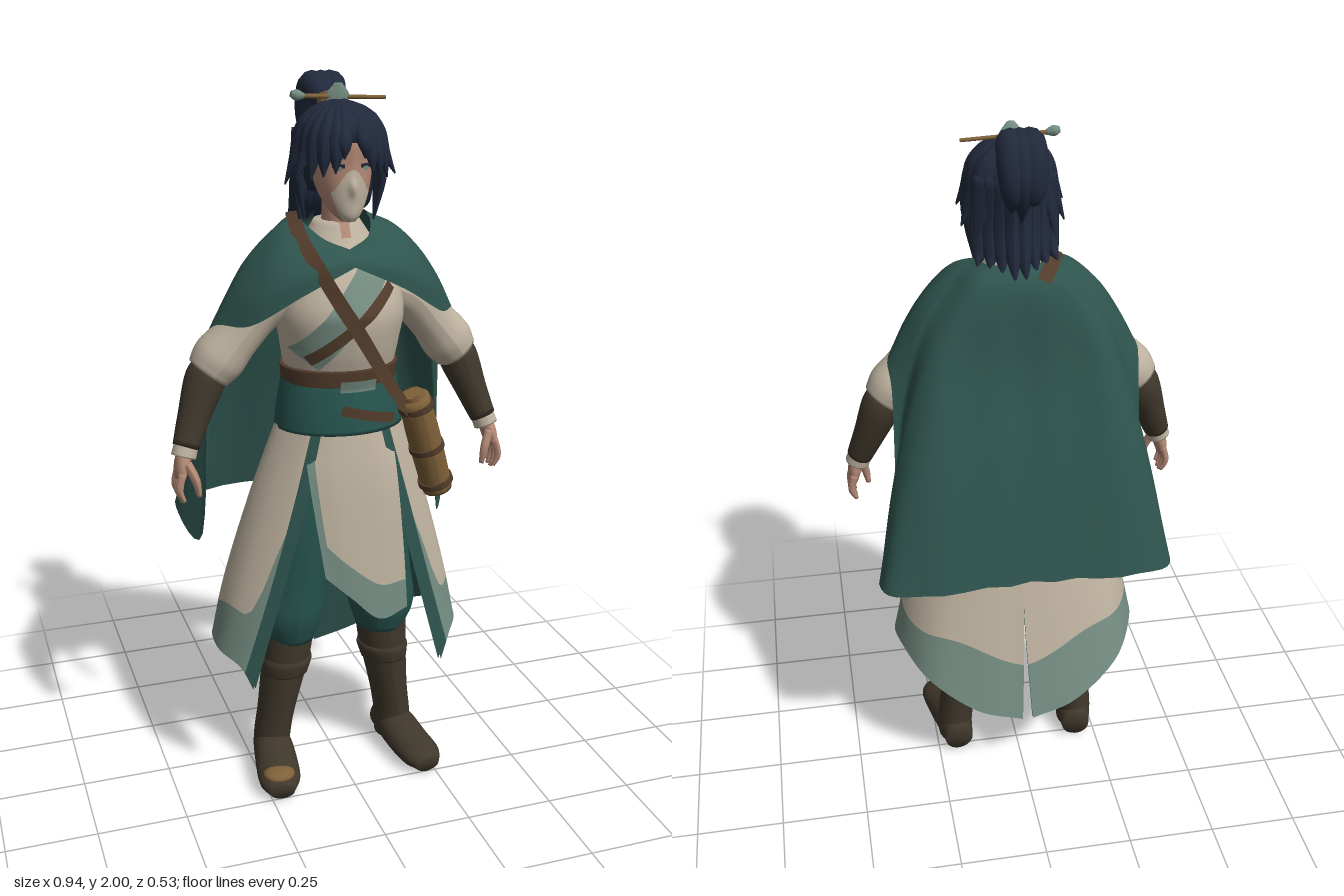
import * as THREE from 'three';

const mat = (name, color) => {
  const m = new THREE.MeshStandardMaterial({ color, side: THREE.DoubleSide });
  m.name = name;
  return m;
};
const V = (p) => new THREE.Vector3(p[0], p[1], p[2]);
const spline = (pts) => new THREE.CatmullRomCurve3(pts, false, 'catmullrom', 0.5);

// Indexed surface from a rule f(u, v)
function grid(name, material, f, nu, nv) {
  const pos = [], idx = [];
  for (let j = 0; j <= nv; j++) for (let i = 0; i <= nu; i++) {
    const p = f(i / nu, j / nv);
    pos.push(p.x, p.y, p.z);
    if (i < nu && j < nv) {
      const a = j * (nu + 1) + i, b = a + nu + 1;
      idx.push(a, a + 1, b, a + 1, b + 1, b);
    }
  }
  const g = new THREE.BufferGeometry();
  g.setAttribute('position', new THREE.Float32BufferAttribute(pos, 3));
  g.setIndex(idx);
  g.computeVertexNormals();
  const m = new THREE.Mesh(g, material);
  m.name = name;
  return m;
}

// Elliptical sweep through [x, y, z, ra, rb]; level keeps the sections horizontal
function section(path, ref = [0, 0, 1], level = false) {
  const c = spline(path.map(V)), r = spline(path.map((p) => new THREE.Vector3(p[3], p[4] ?? p[3], 0)));
  const R = V(ref), rise = Math.sign(path[path.length - 1][1] - path[0][1]);
  return (u, v, off = 0, k = 1) => {
    const T = level ? new THREE.Vector3(0, rise, 0) : c.getTangent(v);
    const side = T.clone().cross(R).normalize(), up = side.clone().cross(T);
    const q = r.getPoint(v), a = u * Math.PI * 2;
    return c.getPoint(v).addScaledVector(side, k * (q.x + off) * Math.sin(a)).addScaledVector(up, k * (q.y + off) * Math.cos(a));
  };
}
function limb(name, material, path, ref, level, nu = 20, nv = path.length * 4) {
  const P = section(path, ref, level), n = nv + 2;
  return grid(name, material, (u, t) => {
    const j = Math.round(t * n);
    return P(u, Math.min(Math.max((j - 1) / nv, 0), 1), 0, j === 0 || j === n ? 0 : 1);
  }, nu, n);
}

// Smooth cloth through columns of points
function cloth(cols) {
  const cs = cols.map((c) => spline(c.map(V)));
  return (u, v) => spline(cs.map((c) => c.getPoint(v))).getPoint(u);
}

// Flat strap lying on the body
function ribbon(name, material, pts, w) {
  const c = spline(pts.map(V));
  return grid(name, material, (u, v) => {
    const p = c.getPoint(v), out = new THREE.Vector3(p.x, Math.max(0, p.y - 1.5) * 2.5, p.z - 0.06).normalize();
    return p.addScaledVector(c.getTangent(v).cross(out).normalize(), (u - 0.5) * w);
  }, 2, 48);
}

// Mirrored copy with its winding restored
function mirror(group) {
  const g = group.clone();
  g.traverse((o) => {
    if (!o.isMesh) return;
    o.geometry = o.geometry.clone().scale(-1, 1, 1);
    const a = o.geometry.index.array;
    for (let i = 0; i < a.length; i += 3) [a[i], a[i + 1]] = [a[i + 1], a[i]];
    o.geometry.computeVertexNormals();
  });
  return g;
}

export function createModel() {
  const root = new THREE.Group();
  const teal = mat('cape green', 0x2f544e), pants = mat('trouser teal', 0x27544f), cream = mat('cream cloth', 0xbfb3a0);
  const sage = mat('sage trim', 0x758d82), dark = mat('dark leather', 0x40382c), brown = mat('brown leather', 0x523c2b);
  const tan = mat('bamboo tan', 0x7f6139), skin = mat('skin', 0xb58a77), hair = mat('blue black hair', 0x21293c);
  const add = (...m) => root.add(...m);
  const both = (name, ...m) => {
    const g = new THREE.Group();
    g.add(...m);
    const h = mirror(g);
    g.name = 'left ' + name; h.name = 'right ' + name;
    add(g, h);
  };

  // Torso, sash and belt
  const rings = [[0, 1.06, .085, .165, .115], [0, 1.2, .085, .15, .115], [0, 1.3, .09, .162, .14], [0, 1.4, .095, .175, .148],
    [0, 1.5, .08, .15, .12], [0, 1.57, .07, .1, .085], [0, 1.63, .067, .06, .058]];
  add(limb('robe top', cream, rings, [0, 0, 1], true, 32));
  add(limb('neck', skin, [[0, 1.56, .075, .045], [0, 1.7, .09, .045]], [0, 0, 1], true));
  add(limb('sash', pants, [[0, 1.075, .085, .18, .145], [0, 1.13, .085, .174, .139], [0, 1.2, .085, .162, .126], [0, 1.215, .085, .158, .12]], [0, 0, 1], true, 32));
  add(limb('belt', brown, [[0, 1.205, .085, .16, .128], [0, 1.25, .087, .163, .132]], [0, 0, 1], true, 32));
  const chestZ = (x, y) => {
    let i = 0;
    while (i < rings.length - 2 && rings[i + 1][1] < y) i++;
    const t = (y - rings[i][1]) / (rings[i + 1][1] - rings[i][1]);
    const L = (k) => rings[i][k] + (rings[i + 1][k] - rings[i][k]) * t;
    return L(2) + L(4) * Math.sqrt(Math.max(0, 1 - (x / L(3)) ** 2));
  };
  const band = (name, m, x0, y0, x1, y1, w, off) => {
    const d = Math.hypot(x1 - x0, y1 - y0), nx = -(y1 - y0) / d, ny = (x1 - x0) / d;
    add(grid(name, m, (u, v) => {
      const x = x0 + (x1 - x0) * v + nx * w * (u - .5), y = y0 + (y1 - y0) * v + ny * w * (u - .5);
      return new THREE.Vector3(x, y, chestZ(x, y) + off);
    }, 6, 16));
  };
  band('lapel', sage, .08, 1.53, -.125, 1.28, .085, .006);
  band('cross strap', brown, .11, 1.47, -.12, 1.28, .03, .012);
  band('throat', skin, 0, 1.628, 0, 1.59, .026, .005);
  band('buckle', sage, -.04, 1.21, .06, 1.21, .032, .026);
  band('hanging belt', brown, -.04, 1.15, .12, 1.105, .028, .04);
  add(ribbon('shoulder strap', brown, [[-.06, 1.605, -.075], [-.095, 1.64, -.02], [-.115, 1.632, .06], [-.12, 1.595, .135], [-.1, 1.535, .21], [-.05, 1.44, .25], [0, 1.36, .26],
    [.1, 1.2, .24], [.17, 1.11, .225], [.22, 1.05, .2]], .038));

  // Cape, short over the chest and long behind the arms
  const half = [
    [[0, 1.565, .175], [0, 1.558, .19], [0, 1.55, .205], [0, 1.54, .215], [0, 1.527, .222]],
    [[.06, 1.59, .145], [.085, 1.575, .17], [.105, 1.54, .2], [.12, 1.51, .215], [.14, 1.46, .218]],
    [[.09, 1.62, .08], [.15, 1.597, .11], [.195, 1.535, .155], [.235, 1.46, .172], [.265, 1.38, .165]],
    [[.095, 1.63, .04], [.165, 1.604, .05], [.235, 1.538, .06], [.29, 1.455, .07], [.34, 1.36, .06]],
    [[.1, 1.633, .025], [.162, 1.6, .02], [.245, 1.5, 0], [.3, 1.38, -.01], [.34, 1.25, -.02]],
    [[.1, 1.635, .01], [.157, 1.592, 0], [.255, 1.44, -.03], [.325, 1.15, -.045], [.36, .72, -.06]],
    [[.09, 1.64, -.01], [.14, 1.583, -.05], [.245, 1.4, -.085], [.345, 1.1, -.115], [.415, .77, -.15]],
    [[.07, 1.64, -.03], [.105, 1.575, -.075], [.18, 1.38, -.11], [.275, 1.1, -.18], [.345, .775, -.245]],
    [[0, 1.64, -.045], [0, 1.57, -.085], [0, 1.36, -.108], [0, 1.1, -.178], [0, .79, -.253]]];
  const flip = half.slice(0, -1).reverse().map((c) => c.map(([x, y, z]) => [-x, y, z]));
  const capeP = cloth([...half, ...flip]);
  add(grid('cape', teal, (u, v) => {
    const p = capeP(u, v);
    if (p.z < -.05) p.z += .007 * v * Math.sin(p.x * 38 + 1.5 + Math.sin(p.x * 9)) * Math.min(1, (-.05 - p.z) * 20);
    return p;
  }, 96, 28));

  // Skirt side panels with green front edge, sage hem and lining
  const skirtP = cloth([
    [[.075, 1.12, .195], [.135, .87, .207], [.21, .6, .2], [.285, .335, .19]],
    [[.11, 1.12, .18], [.18, .87, .19], [.25, .62, .185], [.315, .4, .17]],
    [[.15, 1.12, .13], [.235, .87, .13], [.31, .62, .12], [.36, .43, .1]],
    [[.165, 1.12, .08], [.25, .87, .05], [.32, .62, .02], [.355, .44, 0]],
    [[.13, 1.12, .01], [.19, .87, -.03], [.25, .6, -.08], [.285, .38, -.125]],
    [[.07, 1.12, -.02], [.1, .85, -.07], [.13, .56, -.13], [.15, .29, -.185]],
    [[0, 1.12, -.03], [0, .85, -.08], [.001, .56, -.14], [.015, .25, -.2]]]);
  const patch = (name, m, P, u0, u1, v0, v1, off = 0, nu = 30) => grid(name, m, (u, v) => {
    const U = u0 + (u1 - u0) * u, a = v0(U), p = P(U, a + (v1(U) - a) * v), d = new THREE.Vector3(p.x, 0, p.z - .06).normalize();
    return p.addScaledVector(d, -off);
  }, nu, 16);
  const top = () => 0, end = () => 1, hem = (u) => .78 + .03 * Math.sin(u * 14) - .38 * Math.exp(-(((u - .12) / .06) ** 2));
  both('skirt panel', patch('green skirt edge', teal, skirtP, 0, .12, top, end, 0, 6),
    patch('skirt cloth', cream, skirtP, .12, 1, top, hem), patch('skirt hem', sage, skirtP, .12, 1, hem, end),
    patch('skirt lining', teal, skirtP, 0, 1, top, end, .008));

  // Front skirt panel
  const frontP = cloth([
    [[-.125, 1.1, .16], [-.125, .98, .2], [-.108, .83, .222], [-.085, .67, .235]],
    [[-.05, 1.11, .2], [-.05, .95, .225], [-.035, .77, .238], [-.01, .6, .246]],
    [[.05, 1.11, .2], [.055, .94, .226], [.065, .72, .24], [.07, .53, .25]],
    [[.12, 1.1, .165], [.13, .94, .21], [.145, .73, .23], [.155, .55, .24]]]);
  const frontHem = (u) => .76 + .08 * u;
  add(patch('front panel', cream, frontP, .1, 1, top, frontHem), patch('front panel hem', sage, frontP, .1, 1, frontHem, end),
    patch('front panel edge', sage, frontP, 0, .1, top, end), patch('front panel lining', teal, frontP, 0, 1, top, end, .006));

  // Legs and boots
  both('leg',
    limb('trouser leg', pants, [[.08, 1.02, .08, .085, .09], [.1, .8, .08, .095, .1], [.128, .6, .07, .095, .1], [.14, .5, .065, .097, .097], [.138, .42, .06, .07, .075]], [0, 0, 1], true),
    limb('boot shaft', dark, [[.143, .45, .055, .075, .08], [.15, .36, .055, .07, .074], [.175, .2, .045, .056, .067], [.19, .1, .04, .054, .06], [.192, .03, .038, .052, .065]], [0, 0, 1], true),
    limb('boot knee band', dark, [[.155, .31, .054, .069, .073], [.15, .345, .055, .075, .079], [.148, .36, .055, .072, .077]], [0, 0, 1], true),
    limb('boot foot', dark, [[.187, .047, -.03, .042, .045], [.194, .06, .05, .056, .058], [.207, .048, .15, .062, .046], [.219, .04, .22, .058, .038], [.223, .03, .262, .035, .024]], [0, 1, 0]));
  const toe = new THREE.Mesh(new THREE.SphereGeometry(1, 16, 10), tan);
  toe.name = 'toe patch';
  toe.position.set(-.22, .064, .215);
  toe.scale.set(.046, .019, .042);
  add(toe);

  // Arms and hands
  const fingers = [0, 1, 2, 3].map((i) => limb('finger', skin, [[.452, .985, .08 + i * .019, .011], [.462, .94, .08 + i * .021, .01],
    [.45, .895 + Math.abs(i - 1.6) * .008, .083 + i * .019, .006]], [0, 0, 1], false, 8));
  both('arm',
    limb('sleeve', cream, [[.13, 1.45, .07, .08], [.21, 1.41, .07, .07], [.275, 1.335, .068, .064], [.325, 1.275, .06, .072], [.355, 1.235, .058, .062]]),
    limb('bracer', dark, [[.345, 1.26, .058, .045], [.366, 1.215, .058, .055], [.403, 1.12, .075, .044], [.432, 1.045, .095, .036]]),
    limb('wrist cloth', cream, [[.43, 1.05, .094, .033], [.44, 1.02, .1, .034]]),
    limb('palm', skin, [[.435, 1.035, .1, .022, .026], [.447, 1, .106, .02, .036], [.454, .965, .11, .014, .037]]),
    limb('thumb', skin, [[.437, 1.01, .132, .013], [.418, .965, .146, .012], [.41, .92, .146, .007]], [0, 0, 1], false, 8), ...fingers);

  // Bamboo case at the hip
  const caseTop = [.172, 1.16, .21], caseEnd = [.268, .87, .165], at = (t, r) => [...V(caseTop).lerp(V(caseEnd), t).toArray(), r];
  add(limb('bamboo case', tan, [at(0, .043), at(.4, .046), at(.8, .044), at(1, .042)]));
  for (const t of [.06, .5, .88]) add(limb('case band', brown, [at(t, .049), at(t + .05, .05)]));
  add(limb('case cap', tan, [at(-.04, .03), at(.02, .034)]));

  // Head, mask and eyes
  const face = [[0, 1.637, .15, .018, .03], [0, 1.655, .14, .036, .05], [0, 1.69, .125, .058, .068], [0, 1.73, .11, .072, .085],
    [0, 1.78, .1, .08, .095], [0, 1.85, .1, .085, .098], [0, 1.9, .09, .06, .07]];
  add(limb('head', skin, face, [0, 0, 1], true, 28));
  const faceP = section(face, [0, 0, 1], true);
  add(grid('face mask', cream, (u, v) => {
    const p = faceP((u - .5) * .25, v * (.54 + .1 * Math.cos((u - .5) * 6)), .004);
    p.z += .012 * Math.exp(-((p.x / .01) ** 2) - ((p.y - 1.725) / .02) ** 2);
    return p;
  }, 24, 16));
  for (const s of [-1, 1]) {
    add(grid('eyelid', hair, (u, v) => faceP(s * (.04 + .06 * u), .655 + .028 * v, .006), 6, 2));
    add(grid('iris', sage, (u, v) => faceP(s * (.055 + .025 * u), .635 + .03 * v, .008), 4, 2));
  }

  // Hair cap, fringe, side and back locks
  add(limb('hair cap', hair, [[0, 1.7, .03, .072, .055], [0, 1.78, .062, .1, .09], [0, 1.84, .088, .11, .113], [0, 1.885, .09, .088, .106],
    [0, 1.92, .083, .055, .07], [0, 1.935, .08, .018, .02]], [0, 0, 1], true, 28));
  const lock = (a, tip, w, flare) => {
    const s = Math.sin(a), c = Math.cos(a), p = (r, y, ra, rb) => [s * r * .93, y, .09 + c * r, ra, rb];
    add(limb('hair lock', hair, [p(.03, 1.922, w * .5, .01), p(.075, 1.9, w, .014), p(.108, 1.86, w * 1.1, .016),
      p(.124, (1.86 + tip) / 2, w * .85, .014), p(.128 * flare, tip, .002, .002)], [s, 0, c], false, 8));
  };
  for (const s of [-1, 1]) {
    // angle from the front, tip height, width and outward flick
    [[.24, 1.8, .02, .98], [.42, 1.765, .022, 1.02], [.68, 1.755, .025, 1.02], [.95, 1.745, .026, 1.06], [1.2, 1.75, .028, 1.2],
      [1.5, 1.635, .024, .82], [1.5, 1.76, .028, 1.18], [1.72, 1.62, .028, .86], [1.85, 1.72, .032, 1.18], [2.2, 1.68, .035, 1.12]]
      .forEach((l) => lock(s * l[0], l[1], l[2], l[3]));
    for (let i = 0; i < 4; i++) {
      const x = s * (.013 + i * .026), z = -.03 + i * .016;
      add(limb('back lock', hair, [[x * .9, 1.86, z, .025, .02], [x, 1.74, z + .012, .026, .026], [x * 1.02, 1.67, z - .005, .022, .022],
        [x * 1.15, 1.6 + i * .012, z - .038, .003, .003]], [0, 0, -1], false, 8));
    }
  }

  // Ponytail and hair ornaments
  for (const [x, tip] of [[0, 1.765], [-.025, 1.81], [.025, 1.79]])
    add(limb('ponytail', hair, [[x * .3, 1.9, .012, .022], [x * .8, 1.945, -.02, .034], [x, 1.958, -.066, .038], [x * 1.1, 1.9, -.095, .036],
      [x, 1.84, -.094, .027], [x, tip, -.07, .003]], [1, 0, 0], false, 12));
  add(limb('hair tie', tan, [[0, 1.905, .022, .034], [0, 1.935, .004, .038]], [1, 0, 0]));
  add(limb('hairpin', tan, [[-.11, 1.945, .075, .006], [.13, 1.935, .075, .005]], [0, 1, 0], false, 8));
  add(limb('pin knob', sage, [[-.125, 1.95, .075, .008], [-.11, 1.947, .075, .014], [-.09, 1.944, .075, .007]], [0, 1, 0], false, 10));
  add(limb('hair crown', sage, [[0, 1.915, .07, .028, .012], [0, 1.945, .073, .032, .012], [0, 1.975, .08, .01, .005]], [0, 0, 1], true, 12));
  return root;
}
